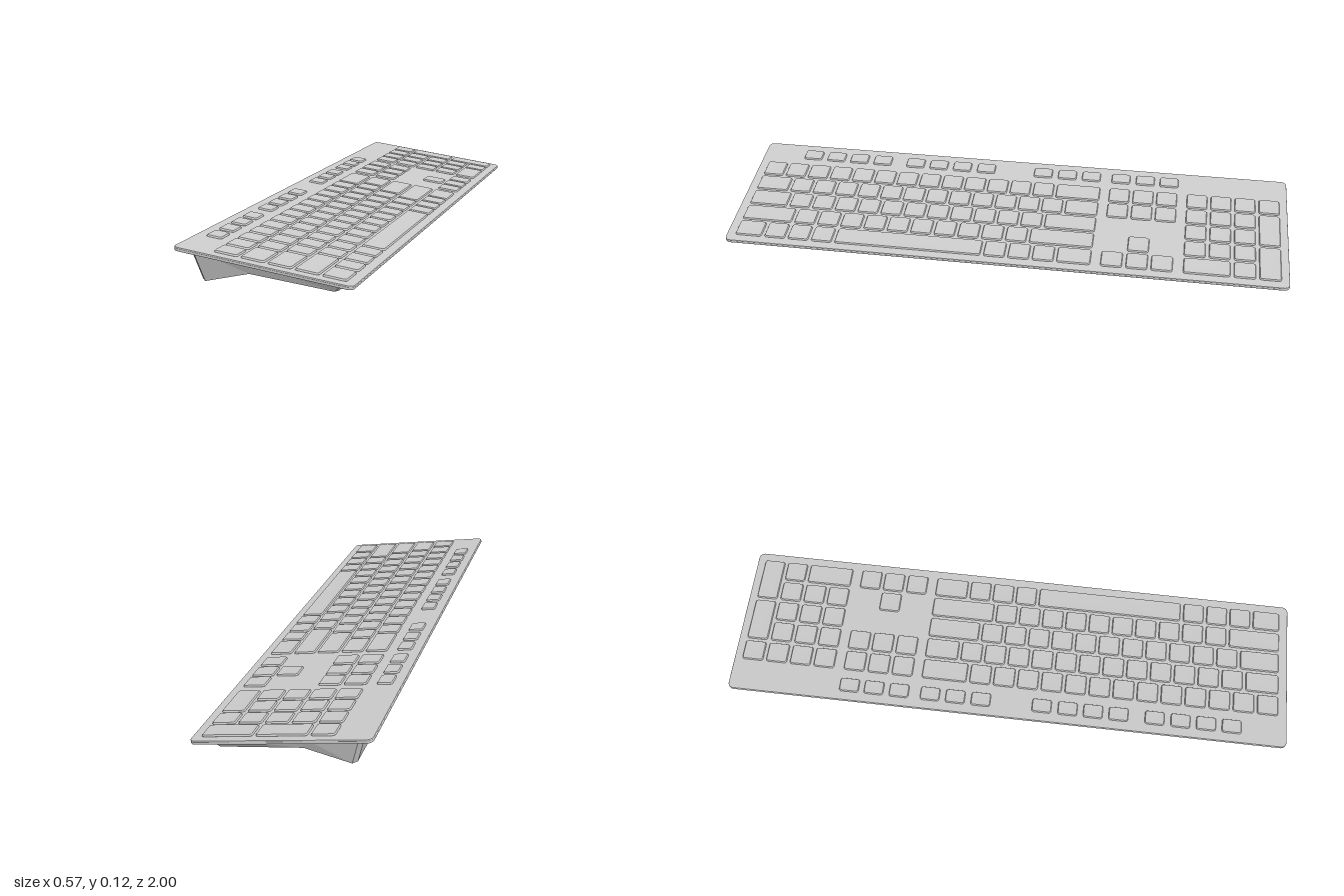
import * as THREE from 'three';

const SLOPE = 0.1325, MID = 0.0795;            // tilt and centre height of the deck
const deckY = x => MID - SLOPE * x;
const mat = new THREE.MeshStandardMaterial({ color: 0xcccccc, roughness: 0.7, side: THREE.DoubleSide });

function roundedRect(w, d, r, Type = THREE.Shape) {
  const s = new Type(), x = w / 2, y = d / 2;
  s.absarc(x - r, y - r, r, 0, Math.PI / 2);
  s.absarc(-x + r, y - r, r, Math.PI / 2, Math.PI);
  s.absarc(-x + r, -y + r, r, Math.PI, Math.PI * 1.5);
  s.absarc(x - r, -y + r, r, Math.PI * 1.5, Math.PI * 2);
  s.closePath();
  return s;
}

// Horizontal slab hanging down from y = top
function slab(shape, top, height, bevel) {
  const g = new THREE.ExtrudeGeometry(shape, {
    depth: height - 2 * bevel, bevelThickness: bevel, bevelSize: bevel,
    bevelOffset: -bevel, bevelSegments: 2, curveSegments: 6,
  });
  return g.rotateX(Math.PI / 2).translate(0, top - bevel, 0);
}

// Keycap: rounded-rectangle rings rising to a shallow dished top
function keycap(w, d) {
  const rings = [[0, -0.008], [0, 0.001], [0, 0.001], [0.0025, 0.0055], [0.0025, 0.0055], [0.006, 0.0062]];
  const pos = [], idx = [], steps = 3, n = 4 * (steps + 1);
  for (const [inset, y] of rings) {
    const r = 0.009 - inset * 0.6;
    for (let c = 0; c < 4; c++) for (let k = 0; k <= steps; k++) {
      const a = (c + k / steps) * Math.PI / 2;
      const sx = c === 0 || c === 3 ? 1 : -1, sz = c < 2 ? 1 : -1;
      pos.push(sx * (w / 2 - inset - r) + r * Math.cos(a), y, sz * (d / 2 - inset - r) + r * Math.sin(a));
    }
  }
  for (let j = 0; j < rings.length - 1; j++) {
    if (j === 1 || j === 3) continue;          // duplicated rings keep these edges crisp
    for (let i = 0; i < n; i++) {
      const a = j * n + i, b = j * n + (i + 1) % n;
      idx.push(a, a + n, b, b, a + n, b + n);
    }
  }
  // wall between the two crisp edges
  for (let i = 0; i < n; i++) {
    const a = 2 * n + i, b = 2 * n + (i + 1) % n;
    if (!idx.length) idx.push(a, a + n, b, b, a + n, b + n);
  }
  const top = pos.length / 3, last = (rings.length - 1) * n;
  pos.push(0, 0.004, 0, 0, -0.008, 0);
  for (let i = 0; i < n; i++) {
    const k = (i + 1) % n;
    idx.push(last + i, top, last + k, i, k, top + 1);
  }
  const g = new THREE.BufferGeometry();
  g.setAttribute('position', new THREE.Float32BufferAttribute(pos, 3));
  g.setIndex(idx);
  g.computeVertexNormals();
  return g;
}

// Open stand under the deck: flared walls with a notched lower edge at both ends
function skirtGeometry() {
  const low = [[-0.221, 0.002, 0.925], [-0.207, 0, 0.94], [-0.06, 0.037, 0.948], [0.205, 0.004, 0.94], [0.213, 0.004, 0.925]];
  const high = [[-0.25, 0.948], [-0.236, 0.964], [-0.06, 0.964], [0.242, 0.964], [0.254, 0.948]]
    .map(([x, z]) => [x, deckY(x) - 0.008, z]);
  const loop = half => [...half, ...half.map(([x, y, z]) => [x, y, -z]).reverse()];
  const a = loop(low), b = loop(high), pos = [];
  a.forEach((p, i) => {
    const k = (i + 1) % a.length;
    pos.push(...p, ...a[k], ...b[i], ...a[k], ...b[k], ...b[i]);
  });
  const g = new THREE.BufferGeometry();
  g.setAttribute('position', new THREE.Float32BufferAttribute(pos, 3));
  g.computeVertexNormals();
  return g;
}

export function createModel() {
  const model = new THREE.Group();
  model.name = 'keyboard';
  const add = (parent, geometry, name) => {
    const m = new THREE.Mesh(geometry, mat);
    m.name = name;
    parent.add(m);
    return m;
  };

  add(model, skirtGeometry(), 'standSkirt');

  const tilted = new THREE.Group();
  tilted.name = 'tiltedDeck';
  tilted.position.y = MID;
  tilted.rotation.z = -Math.atan(SLOPE);
  model.add(tilted);

  // Deck plate and the rim below its edge
  add(tilted, slab(roundedRect(0.569, 2, 0.02), 0, 0.006, 0.002), 'deckPlate');
  const rim = roundedRect(0.569, 2, 0.02);
  rim.holes.push(roundedRect(0.515, 1.935, 0.015, THREE.Path));
  add(tilted, slab(rim, -0.004, 0.009, 0.002), 'deckRim');

  // Keys: x and z ranges on the deck
  const keys = new THREE.Group();
  keys.name = 'keys';
  tilted.add(keys);
  const key = (x0, x1, z0, z1, name) =>
    add(keys, keycap(x1 - x0, z1 - z0), name).position.set((x0 + x1) / 2, 0, (z0 + z1) / 2);
  const U = 0.0863, GAP = 0.011, ROW = 0.0861, CAP = 0.076;
  const rowX = r => -0.166 + r * ROW;
  const rowKey = (r, z, units = 1, name = 'key', rows = 1) =>
    key(rowX(r), rowX(r) + CAP + (rows - 1) * ROW, z, z + units * U - GAP, name);

  // Main block, from -z to +z, widths in key units
  const ones = n => Array(n).fill(1);
  [
    [2, ...ones(13)],
    [1.5, ...ones(12), 1.5],
    [2.25, ...ones(11), 1.75],
    [2.75, ...ones(10), 2.25],
    [1.5, 1, 1, 1, 6.25, 1, 1, 1, 1.25],
  ].forEach((row, r) => {
    let z = -0.315;
    for (const u of row) {
      rowKey(r, z, u, u > 6 ? 'spaceBar' : 'mainKey');
      z += u * U;
    }
  });

  // Function keys
  const fn = [-0.602, -0.513, -0.422, -0.31, -0.219, -0.127, 0.092, 0.185, 0.276, 0.367, 0.496, 0.588, 0.679, 0.77];
  for (const z of fn) key(-0.252, -0.2, z, z + 0.07, 'functionKey');

  // Navigation and arrow keys
  const nav = [-0.6, -0.513, -0.425];
  for (const r of [0, 1, 4]) nav.forEach((z, i) => {
    if (i < 2 || r === 4) rowKey(r, z, 1, r === 4 ? 'arrowKey' : 'navigationKey');
  });
  for (const r of [0, 1]) rowKey(r, nav[2], 1, 'navigationKey');
  rowKey(3, nav[1], 1, 'arrowKey');

  // Number pad with its tall and wide keys
  const pad = [-0.972, -0.885, -0.798, -0.711];
  for (let r = 0; r < 4; r++) pad.forEach((z, i) => {
    if (i > 0 || r === 0) rowKey(r, z, 1, 'padKey');
  });
  rowKey(1, pad[0], 1, 'padTallKey', 2);
  rowKey(3, pad[0], 1, 'padTallKey', 2);
  rowKey(4, pad[1], 1, 'padKey');
  rowKey(4, pad[2], 2, 'padWideKey');
  return model;
}
